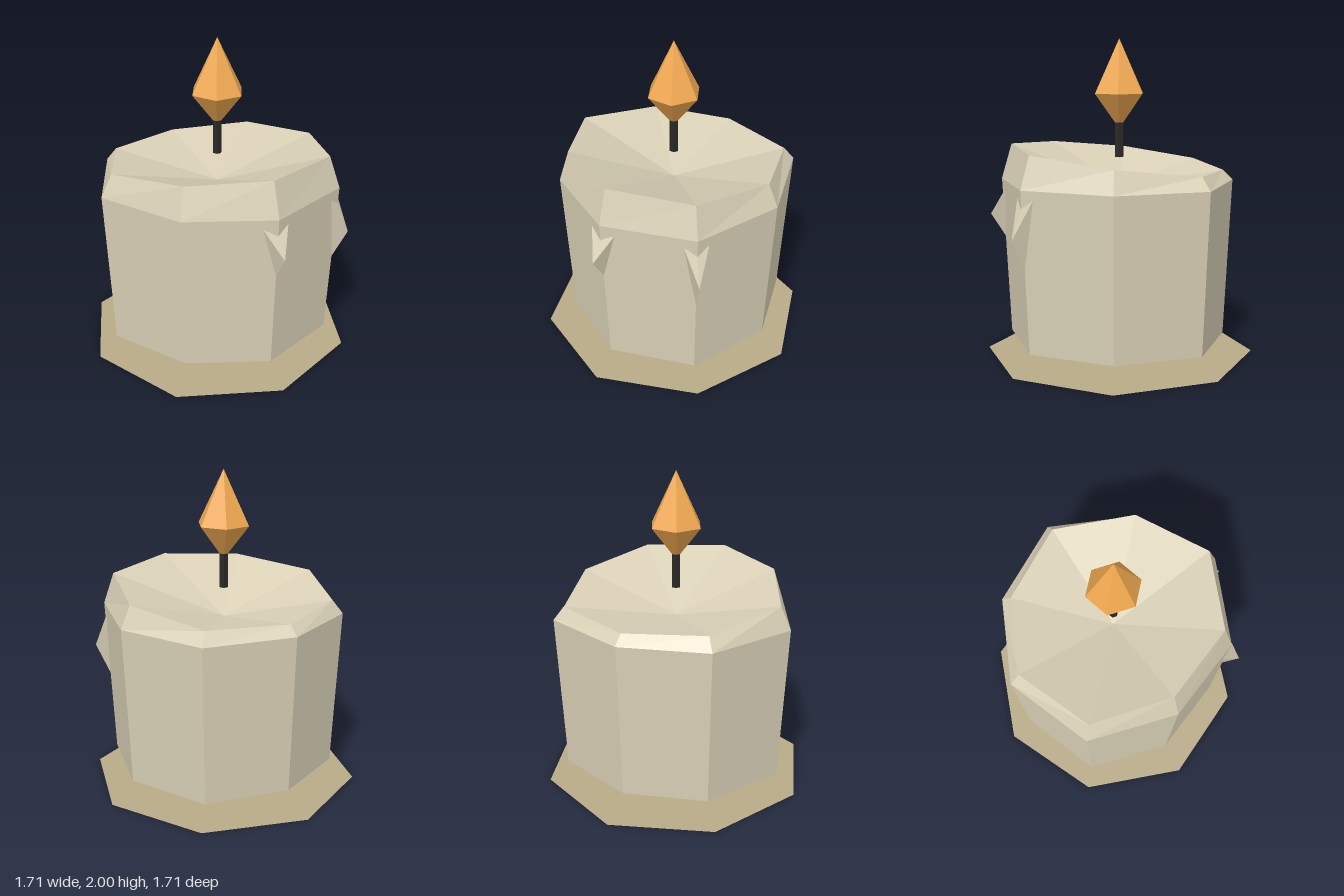
import * as THREE from 'three';

const paint = (color, side = THREE.FrontSide) =>
  new THREE.MeshStandardMaterial({ color, flatShading: true, side });

const WAX = 0xd9d0b6;
const SIDES = 8;
// Uneven radii of the wax at its shoulder, from the front (+z) round to the left (+x)
const RADII = [0.75, 0.78, 0.75, 0.78, 0.717, 0.75, 0.783, 0.717];

function facets(points, index) {
  const geometry = new THREE.BufferGeometry();
  geometry.setAttribute('position', new THREE.Float32BufferAttribute(points.flat(), 3));
  geometry.setIndex(index);
  const flat = geometry.toNonIndexed();
  flat.computeVertexNormals();
  return flat;
}

// Tapered block: three rings of eight, closed by a fan below and a sunken fan on top
function waxGeometry() {
  const rings = [
    { scale: 0.935, y: () => 0.12 },
    { scale: 1, y: () => 1.12 },
    { scale: 0.913, y: (z) => 1.26 + 0.12 * z }, // rim slopes up towards the front
  ];
  const points = [];
  for (const { scale, y } of rings) {
    RADII.forEach((radius, i) => {
      const a = (i / SIDES) * Math.PI * 2;
      const z = Math.cos(a) * radius * scale;
      points.push([Math.sin(a) * radius * scale, y(z), z]);
    });
  }
  const bottom = points.push([0, 0.12, 0]) - 1;
  const hollow = points.push([0, 1.07, 0]) - 1;
  const index = [];
  for (let i = 0; i < SIDES; i++) {
    const j = (i + 1) % SIDES;
    for (const base of [0, SIDES]) {
      const a = base + i, b = base + j;
      index.push(a, b, b + SIDES, a, b + SIDES, a + SIDES);
    }
    index.push(bottom, j, i, hollow, 2 * SIDES + i, 2 * SIDES + j);
  }
  return facets(points, index);
}

// Forked drip lying on a vertical edge of the wax
function dripGeometry({ half, sideZ, notch, bulge, foot }) {
  const points = [
    [-half, 1.065, sideZ], [0, ...notch], [half, 1.065, sideZ], [0, ...bulge], [0, ...foot],
  ];
  return facets(points, [0, 3, 1, 1, 3, 2, 0, 4, 3, 3, 4, 2]);
}

export function createModel() {
  const group = new THREE.Group();
  const add = (name, geometry, material, y = 0) => {
    const mesh = new THREE.Mesh(geometry, material);
    mesh.name = name;
    mesh.position.y = y;
    group.add(mesh);
    return mesh;
  };

  // Flat pool of wax on the ground
  const pool = new THREE.CircleGeometry(0.855, SIDES).rotateX(-Math.PI / 2);
  add('waxPool', pool, paint(0xb8ab88, THREE.DoubleSide));

  add('waxBody', waxGeometry(), paint(WAX));

  // Drips: a short one in front, a long one on the front left edge
  const dripPaint = paint(WAX, THREE.DoubleSide);
  add('frontDrip', dripGeometry({
    half: 0.085, sideZ: 0.715, notch: [1.015, 0.747], bulge: [0.89, 0.825], foot: [0.745, 0.732],
  }), dripPaint);
  add('leftDrip', dripGeometry({
    half: 0.075, sideZ: 0.746, notch: [1.01, 0.777], bulge: [0.83, 0.848], foot: [0.64, 0.756],
  }), dripPaint).rotation.y = Math.PI / 4;

  // Wick, hanging above the hollow
  const wick = new THREE.CylinderGeometry(0.029, 0.029, 0.22, 6).rotateY(Math.PI / 2);
  add('wick', wick, paint(0x2a2826), 1.37);

  // Flame: six-sided double cone
  const flame = new THREE.LatheGeometry(
    [[0, 1.44], [0.17, 1.66], [0, 2]].map(([x, y]) => new THREE.Vector2(x, y)), 6, Math.PI / 2);
  add('flame', flame, paint(0xf0a850));

  return group;
}
